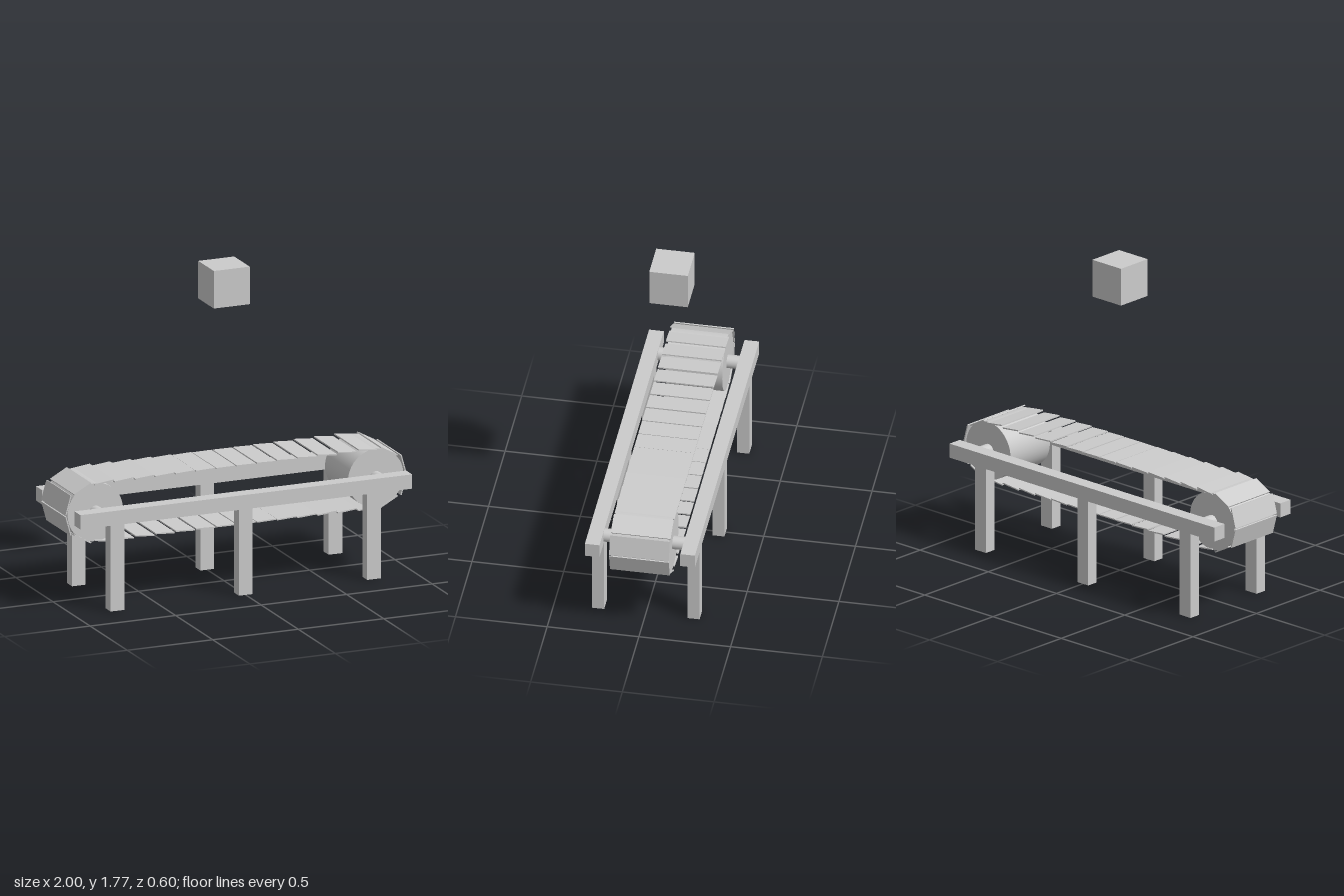
import * as THREE from 'three';

export function createModel() {
  const model = new THREE.Group();
  const mat = new THREE.MeshStandardMaterial({ color: 0xcccccc });
  const add = (name, geo, x, y, z, parent = model) => {
    const mesh = new THREE.Mesh(geo, mat);
    mesh.name = name;
    mesh.position.set(x, y, z);
    parent.add(mesh);
    return mesh;
  };

  const axisY = 0.522;

  // Side rails, each on three legs
  const rail = new THREE.BoxGeometry(1.94, 0.08, 0.08);
  const leg = new THREE.BoxGeometry(0.08, 0.49, 0.066);
  for (const side of [1, -1]) {
    add(side > 0 ? 'frontRail' : 'backRail', rail, 0, axisY, side * 0.26);
    for (const x of [-0.75, 0, 0.75]) add('leg', leg, x, 0.245, side * 0.26);
  }

  // End drums on axles that run between the rails
  const drum = new THREE.CylinderGeometry(0.162, 0.162, 0.31, 48).rotateX(Math.PI / 2);
  const axle = new THREE.CylinderGeometry(0.037, 0.037, 0.46, 24).rotateX(Math.PI / 2);
  for (const x of [-0.82, 0.82]) {
    add('drum', drum, x, axisY, 0);
    add('axle', axle, x, axisY, 0);
  }

  // Belt of separate slats
  const belt = new THREE.Group();
  belt.name = 'belt';
  model.add(belt);
  const slat = new THREE.BoxGeometry(0.112, 0.007, 0.326);
  const addSlat = (x, y, angle) => {
    add('beltSlat', slat, x, axisY + y, 0, belt).rotation.z = angle;
  };
  for (const up of [1, -1]) {
    // Straight run, slats leaning slightly outward from the middle
    for (let i = 0; i < 14; i++) {
      const x = (i - 6.5) * 0.1185;
      addSlat(x, up * 0.163, -up * x * 0.16);
    }
    // Turn around each drum
    for (const end of [1, -1]) {
      addSlat(end * 0.896, up * 0.14, -up * end * 0.5);
      addSlat(end * 0.98, up * 0.058, -up * end * 1.3);
    }
  }

  // Cube hovering above the belt
  add('cube', new THREE.BoxGeometry(0.21, 0.21, 0.21), 0, 1.668, 0);

  return model;
}
